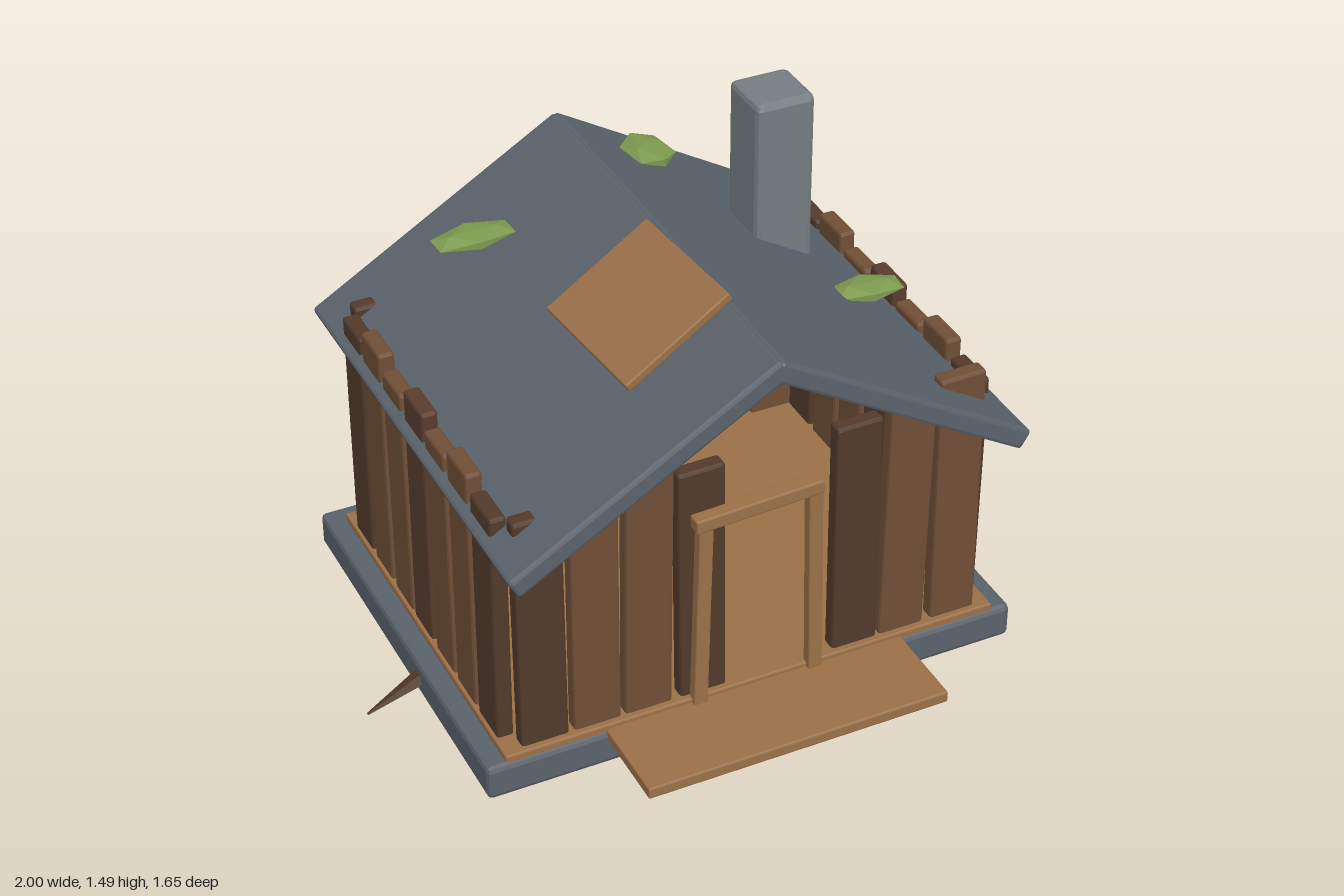
import * as THREE from 'three';
import { RoundedBoxGeometry } from 'three/addons/geometries/RoundedBoxGeometry.js';

const mat = (color) => new THREE.MeshStandardMaterial({ color, flatShading: true });
const slate = mat(0x5a626a), stone = mat(0x747d82), lightWood = mat(0x9a7048);
const midWood = mat(0x6f4f37), darkWood = mat(0x523a2b), redWood = mat(0x593c2f);
const rootWood = mat(0x4f3525), moss = mat(0x7c9a4e);

// Bevelled box placed by its centre
function box(parent, name, size, pos, material, bevel = 0.008, rot = [0, 0, 0]) {
  const mesh = new THREE.Mesh(new RoundedBoxGeometry(...size, 1, bevel), material);
  mesh.name = name;
  mesh.position.set(...pos);
  mesh.rotation.set(...rot);
  parent.add(mesh);
  return mesh;
}

// Cone whose wide end is at a and whose tip is at b
function root(parent, a, b) {
  const from = new THREE.Vector3(...a), to = new THREE.Vector3(...b);
  const dir = to.clone().sub(from);
  const mesh = new THREE.Mesh(new THREE.CylinderGeometry(0.004, 0.032, dir.length(), 5), rootWood);
  mesh.name = 'root';
  mesh.position.copy(from).add(to).multiplyScalar(0.5);
  mesh.quaternion.setFromUnitVectors(new THREE.Vector3(0, 1, 0), dir.normalize());
  parent.add(mesh);
}

// Row of slightly crooked planks along local x; a top of 0 leaves a gap
function wall(parent, name, tops, woods, pitch, width) {
  const group = new THREE.Group();
  group.name = name;
  tops.forEach((top, i) => {
    if (!top) return;
    const x = (i - (tops.length - 1) / 2) * pitch;
    const tilt = 0.012 * Math.sin(i * 2.4 + 0.6);
    box(group, 'plank', [width, top - 0.11, 0.05], [x, (top + 0.11) / 2, 0], woods[i], 0.009, [0, 0, tilt]);
  });
  parent.add(group);
  return group;
}

export function createModel() {
  const model = new THREE.Group();
  model.name = 'woodenHut';

  // Foundation, floor and porch
  box(model, 'foundation', [1.66, 0.11, 1.3], [0, 0.06, -0.09], slate, 0.016);
  box(model, 'floor', [1.54, 0.05, 1.23], [0, 0.11, -0.065], lightWood, 0.005);
  box(model, 'porchBoard', [0.935, 0.036, 0.3], [0, 0.103, 0.675], lightWood, 0.005);

  // Plank walls, with the doorway gap in the front
  const D = darkWood, M = midWood, R = redWood;
  const endWoods = [D, M, M, D, R, M, D, M, M], sideWoods = [D, M, M, R, M, M, D];
  const front = wall(model, 'frontWall', [0.9, 0.935, 0.967, 0.905, 0, 0, 0.905, 0.935, 0.967], endWoods, 0.161, 0.143);
  front.position.z = 0.505;
  const back = wall(model, 'backWall', [0.9, 0.935, 0.967, 0.905, 0.935, 0.967, 0.905, 0.935, 0.967], endWoods, 0.161, 0.143);
  back.position.z = -0.635;
  for (const side of [1, -1]) {
    const row = wall(model, side > 0 ? 'leftWall' : 'rightWall',
      [0.89, 0.93, 0.89, 0.93, 0.89, 0.93, 0.89], sideWoods, 0.157, 0.138);
    row.position.set(side * 0.735, 0, -0.07);
    row.rotation.y = Math.PI / 2;
  }

  // Door frame
  for (const side of [1, -1]) {
    box(model, 'doorPost', [0.043, 0.64, 0.036], [side * 0.174, 0.435, 0.548], lightWood, 0.005, [0, 0, side * 0.022]);
  }
  box(model, 'doorLintel', [0.39, 0.043, 0.045], [-0.005, 0.753, 0.548], lightWood, 0.005, [0, 0, 0.045]);

  // Pitched roof
  const pitch = 0.535;
  for (const side of [1, -1]) {
    box(model, 'roofSlab', [0.915, 0.064, 1.45], [side * 0.379, 1.024, -0.065], slate, 0.011, [0, 0, -side * pitch]);
  }

  // Chimney
  box(model, 'chimney', [0.185, 0.55, 0.185], [0.47, 1.215, -0.315], stone, 0.018);

  // Loose patch board on the roof
  box(model, 'patchBoard', [0.37, 0.026, 0.44], [-0.182, 1.228, 0.168], lightWood, 0.004, [0, 0.08, pitch]);

  // Moss tufts: position, half sizes, yaw
  const tufts = [
    [[-0.47, 1.262, -0.29], [0.125, 0.02, 0.062], 0.05],
    [[0.172, 1.255, -0.515], [0.066, 0.021, 0.1], 0.15],
    [[0.61, 0.97, 0.025], [0.11, 0.021, 0.062], -0.1],
  ];
  for (const [pos, scale, yaw] of tufts) {
    const tuft = new THREE.Mesh(new THREE.IcosahedronGeometry(1.08, 0), moss);
    tuft.name = 'mossTuft';
    tuft.position.set(...pos);
    tuft.scale.set(...scale);
    tuft.rotation.y = yaw;
    model.add(tuft);
  }

  // Roots creeping out from the foundation
  root(model, [-0.78, 0.07, 0.04], [-1, 0.012, 0.08]);
  root(model, [0.78, 0.07, -0.175], [1, 0.012, -0.21]);
  root(model, [-0.265, 0.065, 0.5], [-0.335, 0.012, 0.7]);
  root(model, [0.295, 0.065, -0.64], [0.335, 0.012, -0.825]);

  return model;
}
